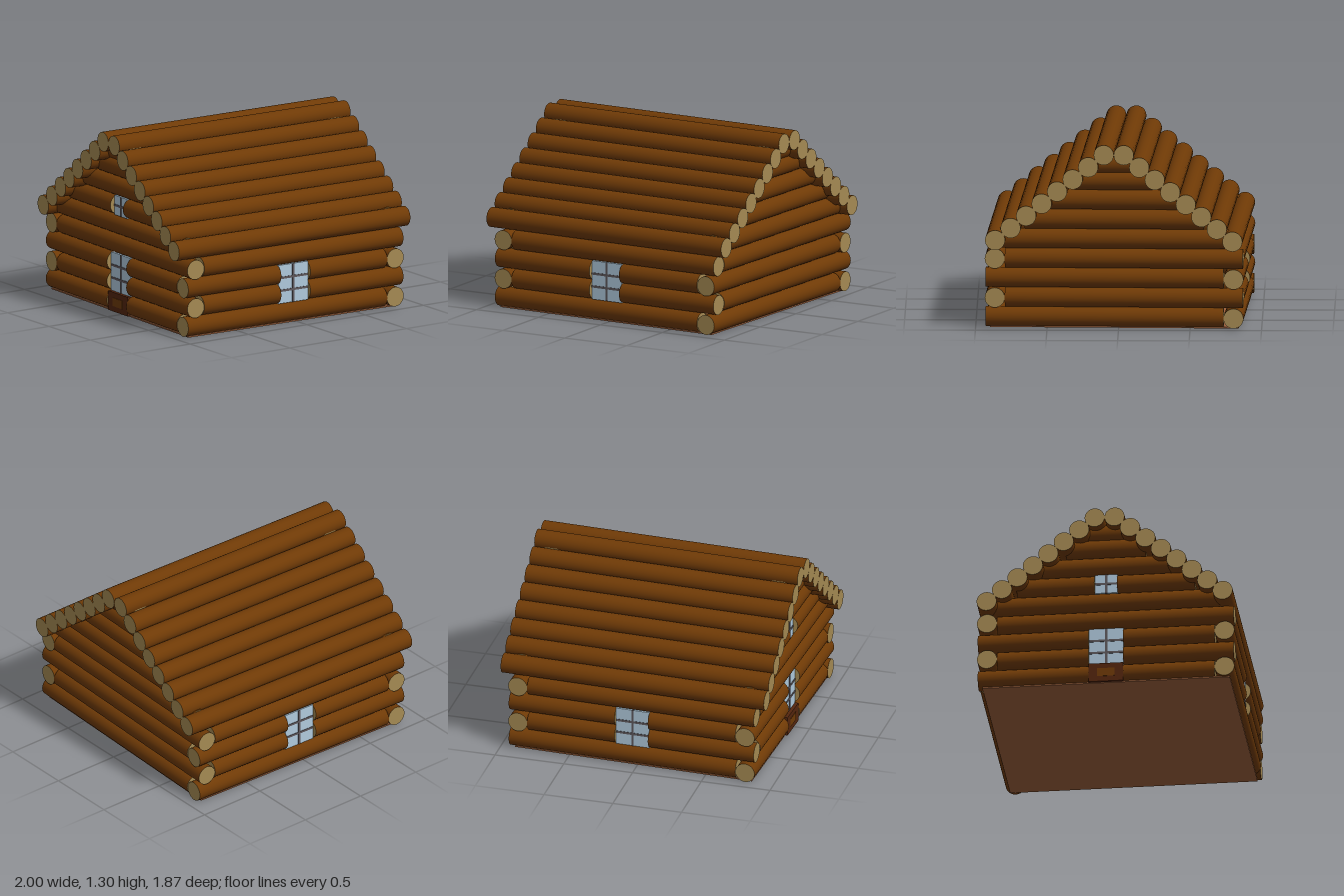
import * as THREE from 'three';

const material = (name, color) => {
  const m = new THREE.MeshStandardMaterial({ color });
  m.name = name;
  return m;
};

export function createModel() {
  const bark = material('bark', 0x6f3a06);
  const cutWood = material('cut wood', 0xa58a53);
  const glass = material('glass', 0xb0cadd);
  const bars = material('window bars', 0x5e585c);
  const doorWood = material('door wood', 0x54260e);
  const floorWood = material('floor', 0x9b603c);

  const R = 0.07;            // log radius
  const WALL = 0.835;        // wall centre line
  const LONG = 0.9;          // log end that passes the corner
  const SHORT = WALL - R;    // log end that butts against its neighbour
  const PANE = WALL + 0.025; // window plane, just short of the bark
  const OPEN = 0.122;        // half width of the openings
  const levelY = (i) => 0.074 + 0.138 * i;

  const model = new THREE.Group();
  model.name = 'logCabin';

  // A log lying along x, bark around it and cut wood on both ends
  function addLog(parent, name, x0, x1, y, z) {
    const geo = new THREE.CylinderGeometry(R, R, x1 - x0, 28).rotateZ(Math.PI / 2);
    const log = new THREE.Mesh(geo, [bark, cutWood, cutWood]);
    log.name = name;
    log.position.set((x0 + x1) / 2, y, z);
    parent.add(log);
  }

  // A log that may be split in two around an opening
  function addWallLog(parent, name, x0, x1, y, gap) {
    if (!gap) return addLog(parent, name, x0, x1, y, WALL);
    addLog(parent, name, x0, -gap, y, WALL);
    addLog(parent, name, gap, x1, y, WALL);
  }

  function addBox(parent, name, mat, w, h, d, x, y, z) {
    const box = new THREE.Mesh(new THREE.BoxGeometry(w, h, d), mat);
    box.name = name;
    box.position.set(x, y, z);
    parent.add(box);
  }

  // Glass with one upright bar and evenly spaced cross bars
  function addWindow(parent, half, y0, y1, rows) {
    const win = new THREE.Group();
    win.name = 'window';
    const h = y1 - y0;
    const mid = (y0 + y1) / 2;
    addBox(win, 'glassPane', glass, half * 2, h, 0.02, 0, mid, PANE);
    addBox(win, 'uprightBar', bars, 0.016, h, 0.026, 0, mid, PANE);
    for (let i = 1; i < rows; i++) {
      addBox(win, 'crossBar', bars, half * 2, 0.016, 0.026, 0, y0 + (h * i) / rows, PANE);
    }
    parent.add(win);
  }

  // Four walls, each the same interlocking stack turned by a quarter
  ['frontWall', 'rightWall', 'backWall', 'leftWall'].forEach((name, k) => {
    const wall = new THREE.Group();
    wall.name = name;
    const isGable = k % 2 === 1;
    const hasDoor = k === 3;

    for (let i = 0; i < 4; i++) {
      const even = i % 2 === 0;
      const open = (!isGable && (i === 1 || i === 2)) || (hasDoor && i < 3);
      addWallLog(wall, 'wallLog', even ? -LONG : -SHORT, even ? SHORT : LONG,
        levelY(i), open ? OPEN : 0);
    }

    // Gable logs shorten with the roof slope
    if (isGable) {
      for (let i = 4; i < 9; i++) {
        const y = i === 8 ? 1.155 : levelY(i);
        const half = 0.83 - (y - 0.63) * 1.256 - 0.035;
        addWallLog(wall, 'gableLog', -half, half, y, hasDoor && i === 5 ? 0.08 : 0);
      }
    }

    if (!isGable || hasDoor) addWindow(wall, OPEN, 0.143, 0.419, 3);
    if (hasDoor) {
      addWindow(wall, 0.08, levelY(5) - R, levelY(5) + R, 2);
      addBox(wall, 'door', doorWood, OPEN * 2, 0.138, 0.08, 0, 0.074, WALL + 0.02);
      addBox(wall, 'doorPanel', bark, 0.12, 0.06, 0.086, 0, 0.074, WALL + 0.02);
    }
    wall.rotation.y = (k * Math.PI) / 2;
    wall.position.x = 0.006;
    model.add(wall);
  });

  // Roof logs, mirrored front to back
  const roof = new THREE.Group();
  roof.name = 'roof';
  const N = 8;
  for (const side of [1, -1]) {
    for (let i = 0; i < N; i++) {
      const t = i / (N - 1);
      addLog(roof, 'roofLog', -0.967, 0.967,
        THREE.MathUtils.lerp(0.626, 1.232, t), side * THREE.MathUtils.lerp(0.83, 0.07, t));
    }
  }
  model.add(roof);

  addBox(model, 'floor', floorWood, 1.74, 0.01, 1.74, 0, 0.005, 0);

  // The whole cabin stands slightly turned
  model.rotation.y = -0.035;
  const group = new THREE.Group();
  group.name = 'cabin';
  group.add(model);
  return group;
}
